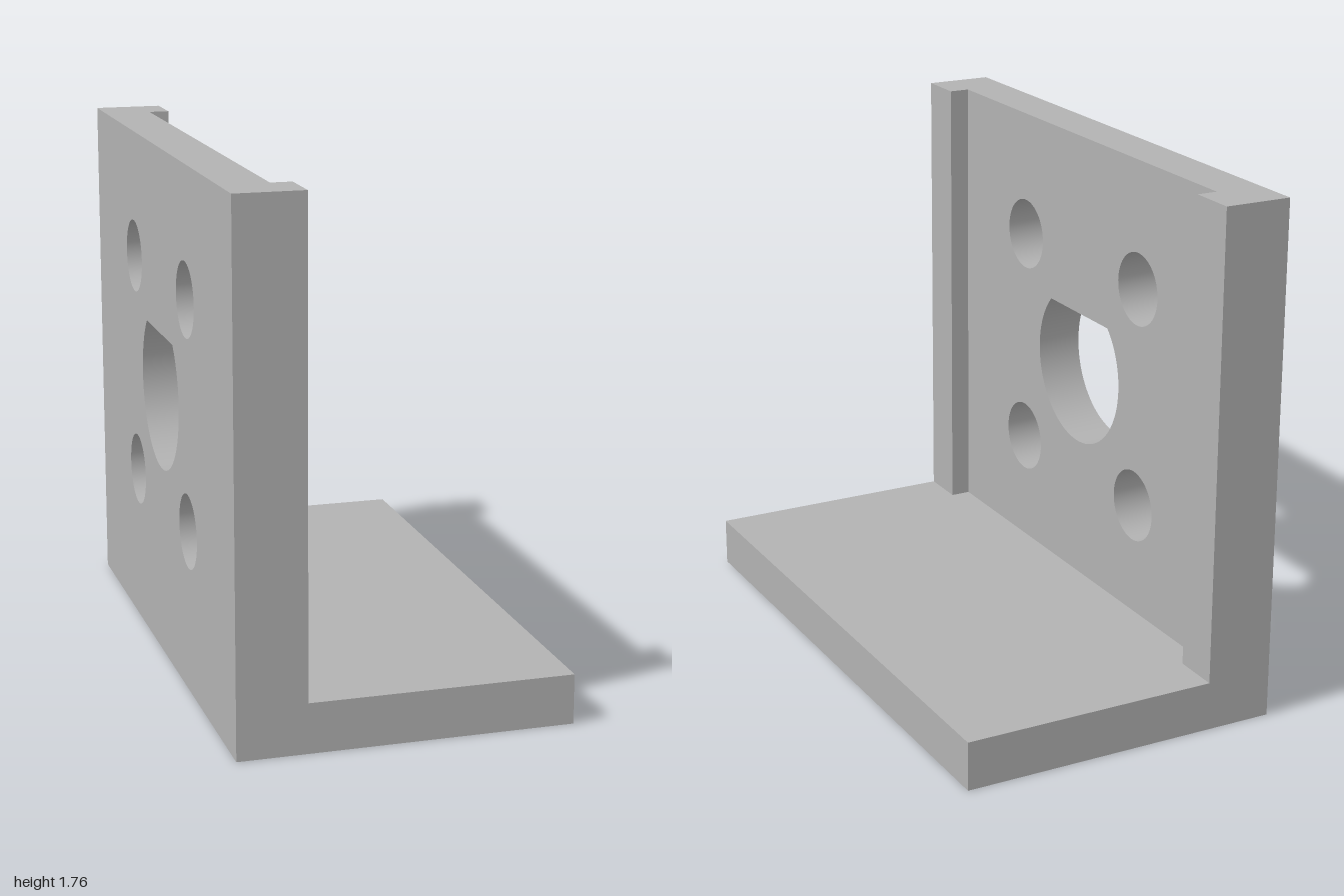
import * as THREE from 'three';
import { toCreasedNormals } from 'three/addons/utils/BufferGeometryUtils.js';

const BACK = -0.555, WALL_FRONT = -0.395, RIB_FRONT = -0.325, FRONT = 0.555;
const HEIGHT = 1.76, BASE = 0.167, RIB_WIDTH = 0.163;

export function createModel() {
  const group = new THREE.Group();
  const grey = new THREE.MeshStandardMaterial({ color: 0xb2b2b2 });
  grey.name = 'grey';

  const add = (name, geometry) => {
    const mesh = new THREE.Mesh(geometry, grey);
    mesh.name = name;
    group.add(mesh);
  };
  const box = (name, x0, x1, y0, y1, z0, z1) => {
    const g = new THREE.BoxGeometry(x1 - x0, y1 - y0, z1 - z0);
    g.translate((x0 + x1) / 2, (y0 + y1) / 2, (z0 + z1) / 2);
    add(name, g);
  };

  // Upright wall outline
  const wall = new THREE.Shape([
    new THREE.Vector2(-1, 0), new THREE.Vector2(1, 0),
    new THREE.Vector2(1, HEIGHT), new THREE.Vector2(-1, HEIGHT),
  ]);

  // Four bolt holes around the centre
  const cy = 0.938, spacing = 0.385;
  for (const sx of [-1, 1]) for (const sy of [-1, 1]) {
    const hole = new THREE.Path();
    hole.absarc(sx * spacing, cy + sy * spacing, 0.125, 0, Math.PI * 2);
    wall.holes.push(hole);
  }

  // Teardrop opening: circle with tangents at 45 degrees meeting at the tip
  const r = 0.276;
  const teardrop = new THREE.Path();
  teardrop.moveTo(0, cy + r * Math.SQRT2);
  teardrop.absarc(0, cy, r, Math.PI * 0.75, Math.PI * 2.25);
  teardrop.closePath();
  wall.holes.push(teardrop);

  const wallGeometry = new THREE.ExtrudeGeometry(wall, {
    depth: WALL_FRONT - BACK, bevelEnabled: false, curveSegments: 32,
  });
  wallGeometry.rotateY(Math.PI / 2).translate(BACK, 0, 0);
  add('wall', toCreasedNormals(wallGeometry, Math.PI / 6));

  // Foot plate
  box('base', WALL_FRONT, FRONT, 0, BASE, -1, 1);

  // Raised ribs along both wall edges
  box('leftRib', WALL_FRONT, RIB_FRONT, BASE, HEIGHT, 1 - RIB_WIDTH, 1);
  box('rightRib', WALL_FRONT, RIB_FRONT, BASE, HEIGHT, -1, RIB_WIDTH - 1);

  return group;
}
